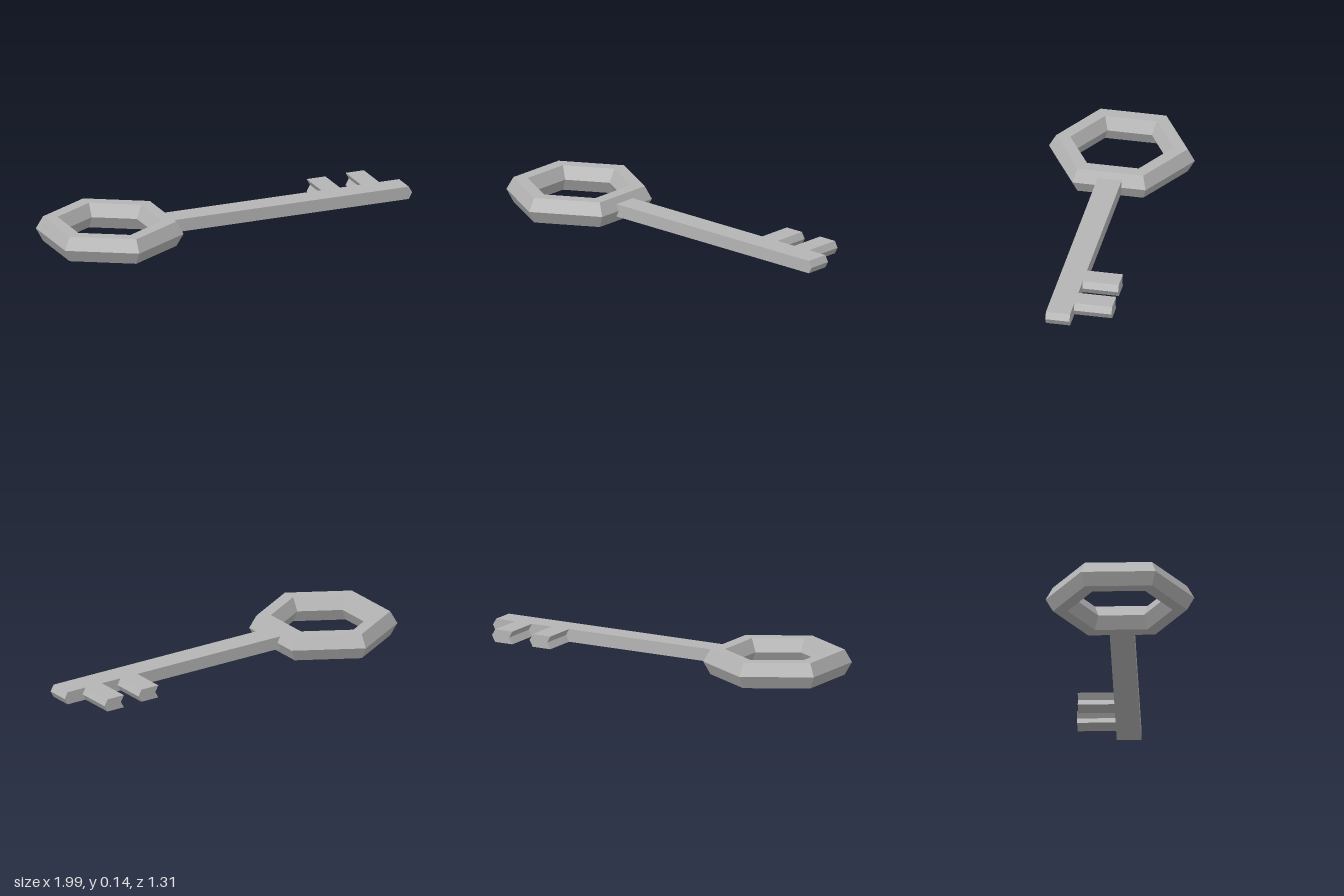
import * as THREE from 'three';

const MID = 0.0715;          // height of the widest level
const HALF = 0.036;          // half thickness of the shaft
const LEAN = 0.02;           // the middle level sits slightly further toward the tip

const metal = new THREE.MeshStandardMaterial({ color: 0xb4b4b4 });
metal.name = 'grey metal';

// Six-sided ring swept from a hexagonal cross-section
function ringGeometry() {
  const profile = [
    [0.25, MID], [0.29, 0], [0.37, 0], [0.41, MID],
    [0.37, 2 * MID], [0.29, 2 * MID], [0.25, MID],
  ].map(([r, y]) => new THREE.Vector2(r, y));
  const geo = new THREE.LatheGeometry(profile, 6, Math.PI / 2).toNonIndexed();
  geo.computeVertexNormals();
  return geo;
}

// Shaft and two teeth as one flat outline, with chevron-shaped ends
function shaftGeometry() {
  const w = 0.068;
  const outline = [[0.3, -w], [1.765, -w], [1.765, w]];
  for (const [from, to, height] of [[1.535, 1.645, 0.28], [1.297, 1.41, 0.27]]) {
    outline.push([to, w], [to, height], [from, height], [from, w]);
  }
  outline.push([0.3, w]);
  const shape = new THREE.Shape(outline.map(([u, v]) => new THREE.Vector2(u, v)));
  const geo = new THREE.ExtrudeGeometry(shape, { depth: 2 * HALF, steps: 2, bevelEnabled: false });
  const p = geo.attributes.position;
  for (let i = 0; i < p.count; i++) {
    if (Math.abs(p.getZ(i) - HALF) < 0.001) p.setX(i, p.getX(i) + LEAN);
  }
  geo.rotateX(-Math.PI / 2);
  geo.translate(0, MID - HALF, 0);
  geo.computeVertexNormals();
  return geo;
}

export function createModel() {
  const key = new THREE.Group();
  key.name = 'key';

  const ring = new THREE.Mesh(ringGeometry(), metal);
  ring.name = 'handleRing';

  const shaft = new THREE.Mesh(shaftGeometry(), metal);
  shaft.name = 'shaftWithTeeth';
  shaft.rotation.y = -Math.PI / 6;

  for (const part of [ring, shaft]) {
    part.position.set(-0.59, 0, -0.3);
    key.add(part);
  }
  return key;
}
